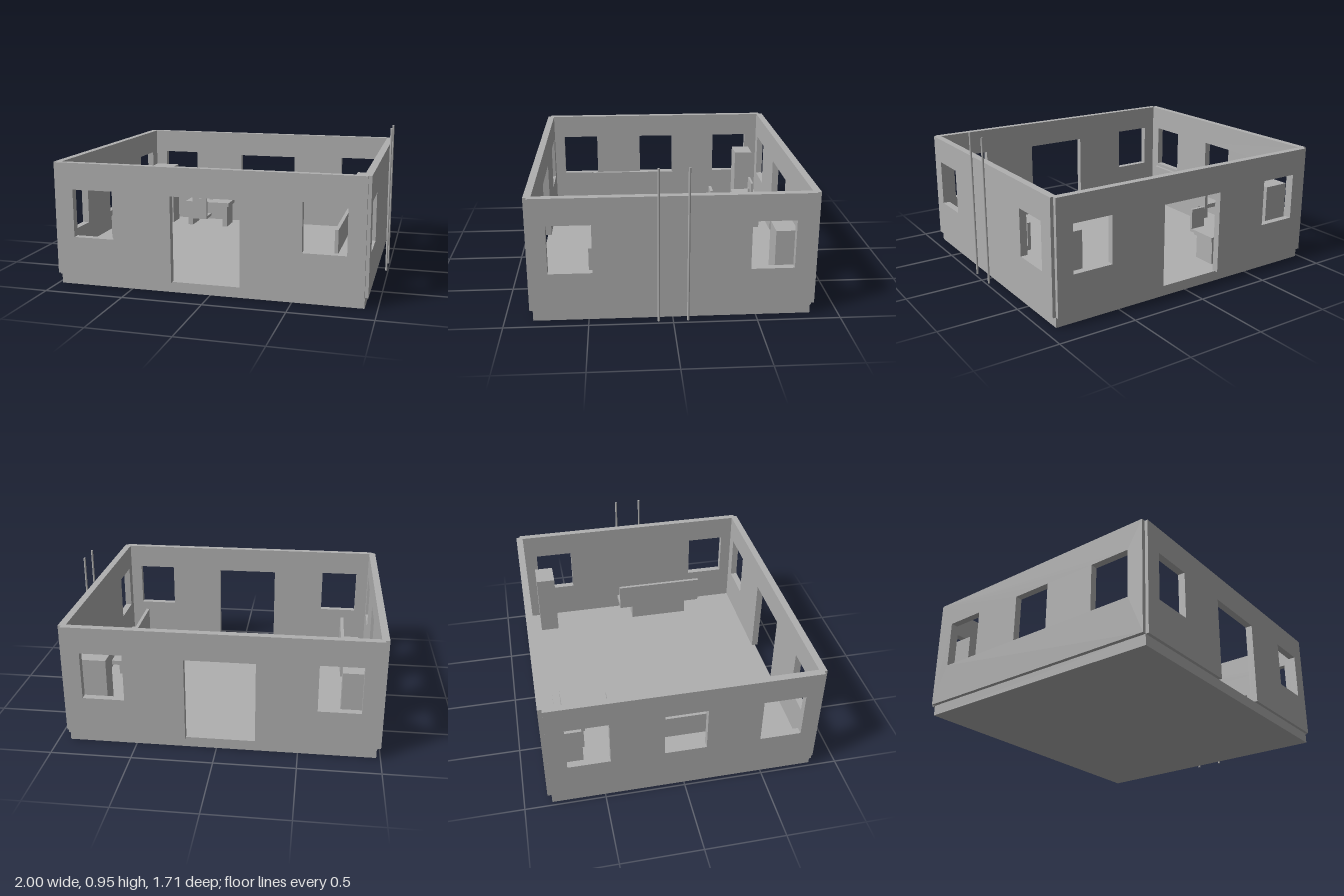
import * as THREE from 'three';

const grey = new THREE.MeshStandardMaterial({ color: 0xb0b0b0 });
grey.name = 'plain grey';

const FLOOR = 0.065, TOP = 0.775, THICK = 0.045;

// Box given by its minimum and maximum on each axis
function box(name, x0, x1, y0, y1, z0, z1) {
  const mesh = new THREE.Mesh(new THREE.BoxGeometry(x1 - x0, y1 - y0, z1 - z0), grey);
  mesh.position.set((x0 + x1) / 2, (y0 + y1) / 2, (z0 + z1) / 2);
  mesh.name = name;
  return mesh;
}

function group(name, ...parts) {
  const g = new THREE.Group();
  g.name = name;
  g.add(...parts);
  return g;
}

// Upright wall from a to b with square windows and an optional door notch
function wall(name, a, b, windows, door) {
  const shape = new THREE.Shape();
  shape.moveTo(a, FLOOR);
  if (door) {
    shape.lineTo(door[0], FLOOR);
    shape.lineTo(door[0], 0.6);
    shape.lineTo(door[1], 0.6);
    shape.lineTo(door[1], FLOOR);
  }
  shape.lineTo(b, FLOOR);
  shape.lineTo(b, TOP);
  shape.lineTo(a, TOP);
  shape.closePath();
  for (const [l, r] of windows) {
    const hole = new THREE.Path();
    hole.moveTo(l, 0.31);
    hole.lineTo(l, 0.61);
    hole.lineTo(r, 0.61);
    hole.lineTo(r, 0.31);
    hole.closePath();
    shape.holes.push(hole);
  }
  const geometry = new THREE.ExtrudeGeometry(shape, { depth: THICK, bevelEnabled: false });
  const mesh = new THREE.Mesh(geometry, grey);
  mesh.name = name;
  return mesh;
}

export function createModel() {
  const model = new THREE.Group();
  model.name = 'roofless building';

  // Floor slab
  model.add(box('floorSlab', -0.975, 0.925, 0, FLOOR, -0.83, 0.83));

  // Front and back walls, each with a doorway between two windows
  for (const [name, z] of [['frontWall', 0.805], ['backWall', -0.855]]) {
    const w = wall(name, -0.975, 0.925, [[-0.87, -0.61], [0.56, 0.82]], [-0.24, 0.19]);
    w.position.z = z;
    model.add(w);
  }

  // Side walls, drawn along -z and turned; only the right one has a middle window
  const ends = [[-0.73, -0.47], [0.46, 0.72]];
  const leftWall = wall('leftWall', -0.83, 0.83, ends);
  leftWall.position.x = 0.9;
  const rightWall = wall('rightWall', -0.83, 0.83, [...ends, [-0.13, 0.13]]);
  rightWall.position.x = -1;
  for (const w of [leftWall, rightWall]) {
    w.rotation.y = Math.PI / 2;
    model.add(w);
  }

  // Two tall cabinets in the back corners
  model.add(
    box('rightCabinet', -0.925, -0.75, FLOOR, 0.515, -0.745, -0.615),
    box('leftCabinet', 0.695, 0.87, FLOOR, 0.515, -0.745, -0.615)
  );

  // Mirrored benches, backrest towards the middle of the room
  for (const s of [-1, 1]) {
    const bench = group(s < 0 ? 'rightBench' : 'leftBench',
      box('seat', -0.07, 0.07, 0.185, 0.215, -0.31, 0.31),
      box('backrest', -0.07, -0.048, 0.215, 0.37, -0.31, 0.31),
      box('base', -0.045, 0.045, FLOOR, 0.185, -0.21, 0.21));
    bench.position.set(s < 0 ? -0.825 : 0.77, 0, 0.19);
    if (s < 0) bench.rotation.y = Math.PI;
    model.add(bench);
  }

  // Desk with panel legs
  model.add(group('desk',
    box('deskTop', -0.63, -0.28, 0.225, 0.255, -0.745, -0.57),
    box('deskLeg', -0.615, -0.575, FLOOR, 0.225, -0.735, -0.58),
    box('deskLeg', -0.335, -0.295, FLOOR, 0.225, -0.735, -0.58)));

  // Screen on its stand
  model.add(group('monitor',
    box('screen', -0.53, -0.38, 0.29, 0.385, -0.7, -0.685),
    box('stand', -0.467, -0.447, 0.255, 0.32, -0.685, -0.673)));

  // Chair facing the desk
  model.add(group('chair',
    box('chairSeat', -0.51, -0.4, 0.165, 0.185, -0.5, -0.4),
    box('chairBack', -0.51, -0.4, 0.165, 0.325, -0.4, -0.38)));

  // Pair of thin poles outside the left wall
  for (const z of [-0.087, 0.087]) {
    const pole = new THREE.Mesh(new THREE.CylinderGeometry(0.007, 0.007, 0.945, 16), grey);
    pole.position.set(0.99, 0.4825, z);
    pole.name = 'pole';
    model.add(pole);
  }

  return model;
}
